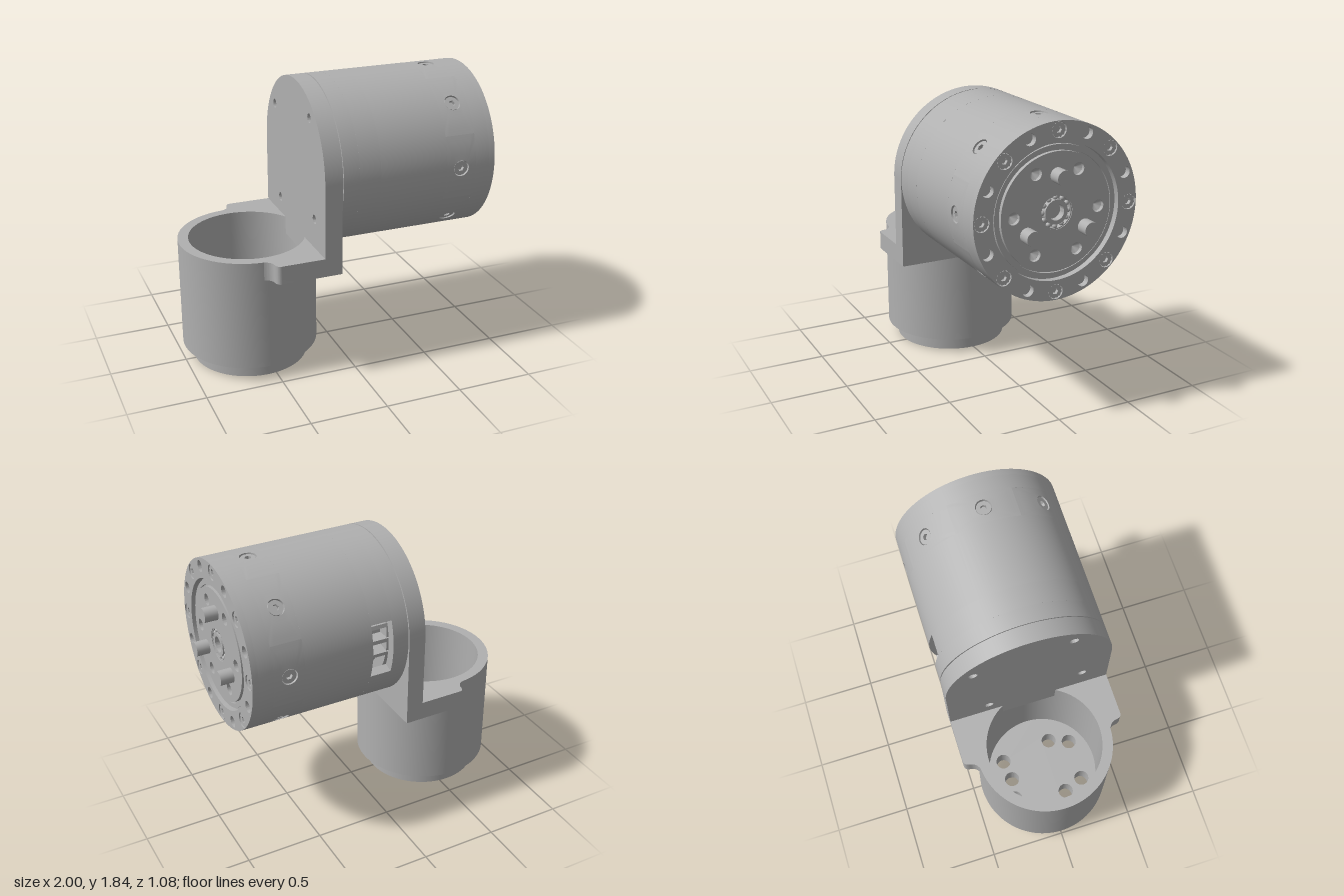
import * as THREE from 'three';
import { toCreasedNormals, mergeVertices } from 'three/addons/utils/BufferGeometryUtils.js';

const TAU = Math.PI * 2;
const metal = new THREE.MeshStandardMaterial({ color: 0xb0b0b0 });
metal.name = 'grey metal';

function part(name, geometry, parent, x = 0, y = 0, z = 0) {
  const mesh = new THREE.Mesh(geometry, metal);
  mesh.name = name;
  mesh.position.set(x, y, z);
  parent.add(mesh);
  return mesh;
}

const circle = (Type, x, y, r) => new Type().absarc(x, y, r, 0, TAU, false);
const polar = (r, a) => [r * Math.cos(a), r * Math.sin(a)];

function extrude(shape, depth, curveSegments = 48) {
  return toCreasedNormals(new THREE.ExtrudeGeometry(shape, { depth, curveSegments, bevelEnabled: false }), 0.5);
}

function lathe(points, segments = 96) {
  const profile = points.map(([r, y]) => new THREE.Vector2(r, y));
  return toCreasedNormals(new THREE.LatheGeometry(profile, segments), 0.5);
}

// Disc with round holes, each given as [x, y, radius]
function drilledDisc(radius, holes, depth) {
  const shape = circle(THREE.Shape, 0, 0, radius);
  for (const [x, y, r] of holes) shape.holes.push(circle(THREE.Path, x, y, r));
  return extrude(shape, depth);
}

const ring = (outer, inner, depth) => drilledDisc(outer, [[0, 0, inner]], depth);

// Screw head with a hexagonal socket, knurled round the rim if wanted
function screwHead(parent, knurled) {
  const rim = [], hex = [];
  for (let i = 0; i < 48; i++) rim.push(new THREE.Vector2(...polar(knurled && i % 4 < 2 ? 0.042 : 0.046, i / 48 * TAU)));
  for (let i = 0; i < 6; i++) hex.push(new THREE.Vector2(...polar(0.021, i / 6 * TAU)));
  const shape = new THREE.Shape(rim);
  shape.holes.push(new THREE.Path(hex));
  const screw = new THREE.Group();
  screw.name = 'screw';
  part('screwHead', extrude(shape, 0.03), screw);
  part('socketFloor', new THREE.CircleGeometry(0.025, 12), screw, 0, 0, 0.008);
  parent.add(screw);
  return screw;
}

// One eighth of a cylindrical wall with a round hole through its middle
function holedPanel(radius, inner, halfLength, hole) {
  const steps = 48, positions = [], index = [];
  for (let row = 0; row < 6; row++) {
    const t = Math.max(0, row - 1) / 4;
    const r = row === 0 ? inner : radius;
    for (let i = 0; i <= steps; i++) {
      const [c, s] = polar(1, i / steps * TAU);
      const m = Math.max(Math.abs(c), Math.abs(s));
      const angle = THREE.MathUtils.lerp(c * hole / radius, c / m * Math.PI / 8, t);
      const along = THREE.MathUtils.lerp(s * hole, s / m * halfLength, t);
      positions.push(...polar(r, angle), along);
      if (row < 5 && i < steps) {
        const a = row * (steps + 1) + i, b = a + steps + 1;
        index.push(a, b, b + 1, a, b + 1, a + 1);
      }
    }
  }
  const geometry = new THREE.BufferGeometry();
  geometry.setAttribute('position', new THREE.Float32BufferAttribute(positions, 3));
  geometry.setIndex(index);
  return toCreasedNormals(mergeVertices(geometry), 0.5);
}

function buildCup(root) {
  const cup = new THREE.Group();
  cup.name = 'cup';
  cup.position.x = -0.555;
  root.add(cup);
  part('cupWall', lathe([[0.375, 0], [0.375, 0.1], [0.445, 0.1], [0.445, 0.83], [0.377, 0.83], [0.377, 0.14]]), cup);
  const holes = [[-0.14, -0.245], [0, -0.225], [0.14, -0.245], [-0.285, 0], [-0.195, 0.11], [0.19, 0.11],
    [-0.14, 0.245], [0.14, 0.245]].map(([x, z]) => [x, z, 0.05]);
  part('cupFloor', drilledDisc(0.377, holes, 0.15).rotateX(Math.PI / 2), cup, 0, 0.15, 0);
}

// Side wings joining the cup to the upright plate
function buildFlange(root) {
  for (const side of [-1, 1]) {
    const shape = new THREE.Shape();
    shape.moveTo(-0.112, side * 0.25);
    shape.lineTo(-0.112, side * 0.54);
    shape.lineTo(-0.505, side * 0.54);
    shape.quadraticCurveTo(-0.535, side * 0.54, -0.54, side * 0.5);
    shape.quadraticCurveTo(-0.545, side * 0.455, -0.6, side * 0.44);
    for (let i = 0; i <= 16; i++) {
      const [x, z] = polar(0.4, THREE.MathUtils.degToRad(95 - i * 3.6));
      shape.lineTo(x - 0.555, side * z);
    }
    part('flange', extrude(shape, 0.12, 12).rotateX(Math.PI / 2), root, 0, 0.83, 0);
  }
}

function buildPlate(motor) {
  const shape = new THREE.Shape();
  shape.moveTo(-0.54, -0.587);
  shape.lineTo(0.54, -0.587);
  shape.lineTo(0.54, 0);
  shape.absarc(0, 0, 0.54, 0, Math.PI, false);
  for (let i = 0; i < 4; i++) {
    shape.holes.push(circle(THREE.Path, ...polar(0.45, THREE.MathUtils.degToRad(37.5 + 90 * i)), 0.03));
  }
  part('uprightPlate', extrude(shape, 0.113), motor, 0, 0, -0.225);
  part('seam', drilledDisc(0.53, [], 0.008), motor, 0, 0, -0.113);
}

function buildHousing(motor) {
  part('rearHousing', ring(0.54, 0.48, 0.105), motor, 0, 0, -0.105);
  part('middleHousing', ring(0.54, 0.48, 0.45), motor, 0, 0, 0.14);
  part('frontHousing', ring(0.54, 0.4, 0.095), motor, 0, 0, 0.79);

  // Window in the back of the housing
  const a = 0.335, sector = new THREE.Shape();
  sector.absarc(0, 0, 0.54, a, TAU - a, false);
  sector.absarc(0, 0, 0.48, TAU - a, a, true);
  part('windowHousing', extrude(sector, 0.14, 96), motor);

  // Core and ribs seen through the window
  part('core', new THREE.CylinderGeometry(0.36, 0.36, 0.9, 64).rotateX(Math.PI / 2), motor, 0, 0, 0.35);
  for (const z of [-0.04, 0.12]) part('coreRing', ring(0.44, 0.34, 0.03), motor, 0, 0, z);
  for (const t of [-0.2, 0.02, 0.24]) {
    const rib = part('rib', new THREE.BoxGeometry(0.1, 0.025, 0.16), motor, ...polar(0.4, t), 0.05);
    rib.rotation.z = t;
  }

  // Band of side screws
  const panel = holedPanel(0.54, 0.49, 0.1, 0.052);
  for (let i = 0; i < 8; i++) {
    const angle = i / 8 * TAU;
    part('screwPanel', panel, motor, 0, 0, 0.69).rotation.z = angle;
    const screw = screwHead(motor, false);
    screw.position.set(...polar(0.502, angle), 0.69);
    screw.rotation.set(0, Math.PI / 2, angle, 'ZYX');
  }
  part('bandLining', ring(0.503, 0.4, 0.2), motor, 0, 0, 0.59);
}

function buildOutputFace(motor) {
  // Outer ring: screws alternating with plain holes
  const holes = [[0, 0, 0.415]];
  for (let i = 0; i < 16; i++) {
    const [x, y] = polar(0.487, i / 16 * TAU);
    holes.push([x, y, i % 2 ? 0.037 : 0.048]);
    if (i % 2 === 0) screwHead(motor, true).position.set(x, y, 0.888);
  }
  part('endRing', drilledDisc(0.54, holes, 0.04), motor, 0, 0, 0.885);

  // Groove and raised lip around the output disc
  part('grooveLip', lathe([[0.415, 0.885], [0.4, 0.885], [0.4, 0.905], [0.372, 0.905], [0.372, 0.89], [0.34, 0.89]])
    .rotateX(Math.PI / 2), motor);

  // Output disc with countersunk holes
  const discHoles = [[0, 0, 0.105]];
  const cone = lathe([[0.038, 0], [0, -0.025]], 32).rotateX(Math.PI / 2);
  for (let i = 0; i < 6; i++) {
    const [x, y] = polar(0.28, i / 6 * TAU);
    discHoles.push([x, y, 0.038]);
    part('countersink', cone, motor, x, y, 0.89);
  }
  part('outputDisc', drilledDisc(0.362, discHoles, 0.025), motor, 0, 0, 0.89);

  // Drive pins
  const pin = new THREE.CylinderGeometry(0.046, 0.046, 0.12, 32).rotateX(Math.PI / 2);
  for (let i = 0; i < 3; i++) part('drivePin', pin, motor, ...polar(0.222, Math.PI / 2 + i / 3 * TAU), 0.94);

  // Central bearing
  part('bearingSeat', new THREE.CircleGeometry(0.11, 48), motor, 0, 0, 0.87);
  part('bearingWall', new THREE.CylinderGeometry(0.105, 0.105, 0.03, 48, 1, true).rotateX(Math.PI / 2).scale(-1, 1, 1), motor, 0, 0, 0.885)
    .visible = false;
  part('outerRace', ring(0.106, 0.098, 0.04), motor, 0, 0, 0.87);
  part('innerRace', ring(0.075, 0.05, 0.045), motor, 0, 0, 0.87);
  const ball = new THREE.SphereGeometry(0.015, 16, 12);
  for (let i = 0; i < 12; i++) part('bearingBall', ball, motor, ...polar(0.087, i / 12 * TAU), 0.897);
}

export function createModel() {
  const root = new THREE.Group();
  root.name = 'elbowActuator';
  buildCup(root);
  buildFlange(root);

  // The motor is built along its own z axis and turned to point along x
  const motor = new THREE.Group();
  motor.name = 'motor';
  motor.position.y = 1.297;
  motor.rotation.y = Math.PI / 2;
  root.add(motor);
  buildPlate(motor);
  buildHousing(motor);
  buildOutputFace(motor);
  return root;
}
